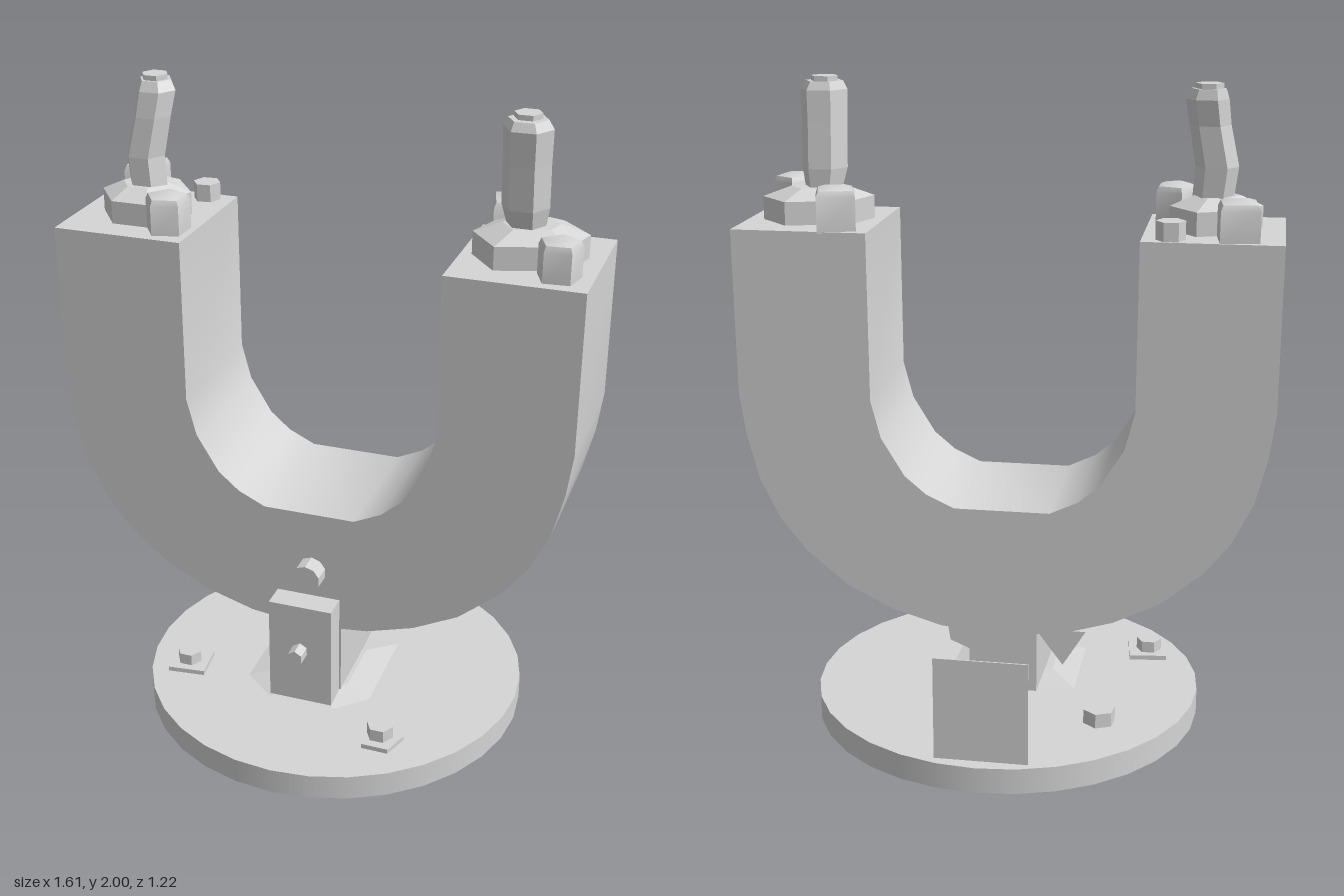
import * as THREE from 'three';
import { toCreasedNormals } from 'three/addons/utils/BufferGeometryUtils.js';

export function createModel() {
  const group = new THREE.Group();
  const grey = new THREE.MeshStandardMaterial({ color: 0xd5d5d5, side: THREE.DoubleSide });
  grey.name = 'grey metal';

  const add = (name, geo, x = 0, y = 0, z = 0) => {
    const mesh = new THREE.Mesh(geo, grey);
    mesh.name = name;
    mesh.position.set(x, y, z);
    group.add(mesh);
  };

  // Flat-sided shell through rings of points, counter-clockwise from above, closed on top
  const loft = (rings) => {
    const pos = [];
    const tri = (a, b, c) => pos.push(...a, ...b, ...c);
    const n = rings[0].length, last = rings[rings.length - 1];
    for (let r = 0; r + 1 < rings.length; r++) {
      for (let i = 0; i < n; i++) {
        const j = (i + 1) % n, a = rings[r], b = rings[r + 1];
        tri(a[i], a[j], b[j]);
        tri(a[i], b[j], b[i]);
      }
    }
    for (let i = 1; i + 1 < n; i++) tri(last[0], last[i], last[i + 1]);
    const geo = new THREE.BufferGeometry();
    geo.setAttribute('position', new THREE.Float32BufferAttribute(pos, 3));
    geo.computeVertexNormals();
    return geo;
  };

  // Regular polygon ring
  const ring = (n, r, x, y, z, rot = 0) => Array.from({ length: n }, (_, i) => {
    const a = rot + (i / n) * Math.PI * 2;
    return [x + Math.cos(a) * r, y, z - Math.sin(a) * r];
  });

  // Outline ring scaled about its centre
  const outline = (pts, y, s = 1) => {
    const cx = pts.reduce((t, p) => t + p[0], 0) / pts.length;
    const cz = pts.reduce((t, p) => t + p[1], 0) / pts.length;
    return pts.map(([x, z]) => [cx + (x - cx) * s, y, cz + (z - cz) * s]);
  };

  const prism = (name, n, r, x, z, y0, y1, rot = 0) =>
    add(name, loft([ring(n, r, x, y0, z, rot), ring(n, r, x, y1, z, rot)]));

  // Bolt with a slightly domed head
  const headBolt = (name, n, r, x, z, y1, rot) => add(name, toCreasedNormals(loft([
    ring(n, r, x, 1.57, z, rot), ring(n, r, x, y1 - 0.025, z, rot),
    ring(n, r * 0.88, x, y1 - 0.008, z, rot), ring(n, r * 0.5, x, y1, z, rot),
  ]), 0.7));

  const extrude = (points, depth) => new THREE.ExtrudeGeometry(
    new THREE.Shape(points.map(([x, y]) => new THREE.Vector2(x, y))), { depth, bevelEnabled: false });

  // Round base, hollow underneath
  add('baseRim', new THREE.CylinderGeometry(0.61, 0.61, 0.08, 32, 1, true), 0.02, 0.04, 0);
  add('baseTop', new THREE.CircleGeometry(0.61, 32).rotateX(-Math.PI / 2), 0.02, 0.08, 0);

  // U-shaped body
  const half = [[0.803, 1.575], [0.801, 1.08], [0.783, 0.95], [0.748, 0.81], [0.685, 0.68], [0.605, 0.58],
    [0.48, 0.475], [0.34, 0.405], [0.19, 0.36], [0, 0.34]];
  const inner = [[0.145, 0.745], [0.23, 0.785], [0.295, 0.84], [0.365, 0.955], [0.395, 1.07], [0.397, 1.575]];
  const mirror = (pts) => pts.map(([x, y]) => [-x, y]).reverse();
  const loop = [...half, ...mirror(half).slice(1), ...mirror(inner), ...inner];
  add('uBody', toCreasedNormals(extrude(loop, 0.45), 0.65), 0, 0, -0.25);

  // Mount between the body and the base
  add('mountFrontPlate', new THREE.BoxGeometry(0.205, 0.345, 0.08), -0.003, 0.283, 0.24);
  add('mountBlock', loft([
    [[-0.105, 0.115, 0.2], [0.105, 0.115, 0.2], [0.105, 0.15, -0.23], [-0.105, 0.15, -0.23]],
    [[-0.105, 0.36, 0.2], [0.105, 0.36, 0.2], [0.105, 0.36, -0.23], [-0.105, 0.36, -0.23]],
  ]));
  const flange = [[-0.105, 0.285], [0.105, 0.285], [0.2, 0.2], [0.2, -0.12], [-0.21, -0.12], [-0.21, 0.2]];
  const layer = (y, s) => outline(flange, y, s).map(([x, h, z]) => [x, h - z * 0.03, z]);
  add('mountFlange', loft([layer(0.095, 0.7), layer(0.11, 1), layer(0.13, 0.6)]));

  // Bolts on the front of the mount and body
  const frontBolt = (name, n, r, len, x, y, z) => {
    const geo = new THREE.CylinderGeometry(r, r, len, n).rotateX(Math.PI / 2).toNonIndexed();
    geo.computeVertexNormals();
    add(name, geo, x, y, z);
  };
  frontBolt('roundFrontBolt', 10, 0.047, 0.06, 0.008, 0.545, 0.23);
  frontBolt('smallFrontBolt', 6, 0.026, 0.05, -0.003, 0.297, 0.305);

  // Side lugs under the body
  add('sideLug', extrude([[0.09, 0.37], [0.1, 0.272], [0.166, 0.3], [0.175, 0.362]], 0.09), 0, 0, -0.22);
  add('wedgeLug', extrude([[-0.255, 0.355], [-0.185, 0.24], [-0.1, 0.355]], 0.09), 0, 0, -0.22);

  // Upright rear plate
  add('rearPlate', new THREE.BoxGeometry(0.28, 0.32, 0.005), 0.01, 0.24, -0.565);

  // Base bolts and washers
  prism('baseWasher', 5, 0.072, 0.3, 0.395, 0.11, 0.125, 0.3);
  prism('baseBolt', 6, 0.042, 0.298, 0.39, 0.125, 0.165);
  prism('baseWasher', 4, 0.085, -0.415, 0.2, 0.105, 0.12, 0.9);
  prism('baseBolt', 6, 0.04, -0.42, 0.2, 0.12, 0.157);
  prism('baseBolt', 6, 0.05, -0.31, -0.31, 0.105, 0.15, 0.4);

  // Terminal nuts on the post tops
  const nuts = [
    [[-0.735, 0], [-0.655, 0.108], [-0.53, 0.108], [-0.465, -0.05], [-0.55, -0.155], [-0.68, -0.1]],
    [[0.43, 0.005], [0.52, 0.115], [0.72, 0.05], [0.755, -0.07], [0.66, -0.168], [0.47, -0.11]],
  ];
  for (const pts of nuts) {
    add('terminalNut', loft([outline(pts, 1.57), outline(pts, 1.645), outline(pts, 1.675, 0.5)]));
  }

  // Crooked terminal rods with small caps
  const rod = (path, capX, capZ) => {
    add('terminalRod', loft(path.map(([x, y, z, r]) => ring(6, r, x, y, z))));
    prism('rodCap', 6, 0.041, capX, capZ, 1.97, 2);
  };
  rod([[-0.588, 1.66, -0.02, 0.06], [-0.598, 1.76, -0.025, 0.063], [-0.575, 1.88, -0.035, 0.06],
    [-0.565, 1.955, -0.05, 0.062], [-0.568, 1.985, -0.055, 0.05]], -0.57, -0.055);
  rod([[0.578, 1.66, -0.025, 0.055], [0.575, 1.73, -0.015, 0.07], [0.575, 1.86, -0.005, 0.07],
    [0.576, 1.96, 0.003, 0.072], [0.574, 1.985, 0.002, 0.058]], 0.572, -0.005);

  // Small bolts around the terminals
  headBolt('squareBolt', 4, 0.08, -0.67, -0.18, 1.69, 0.9);
  headBolt('squareBolt', 4, 0.08, 0.5, -0.185, 1.7, 1.05);
  headBolt('fiveSidedBolt', 5, 0.07, -0.475, 0.105, 1.69, 0.6);
  headBolt('fiveSidedBolt', 5, 0.066, 0.705, 0.11, 1.69, 0.4);
  prism('hexBolt', 6, 0.043, -0.48, -0.205, 1.57, 1.63, 0.1);

  return group;
}
